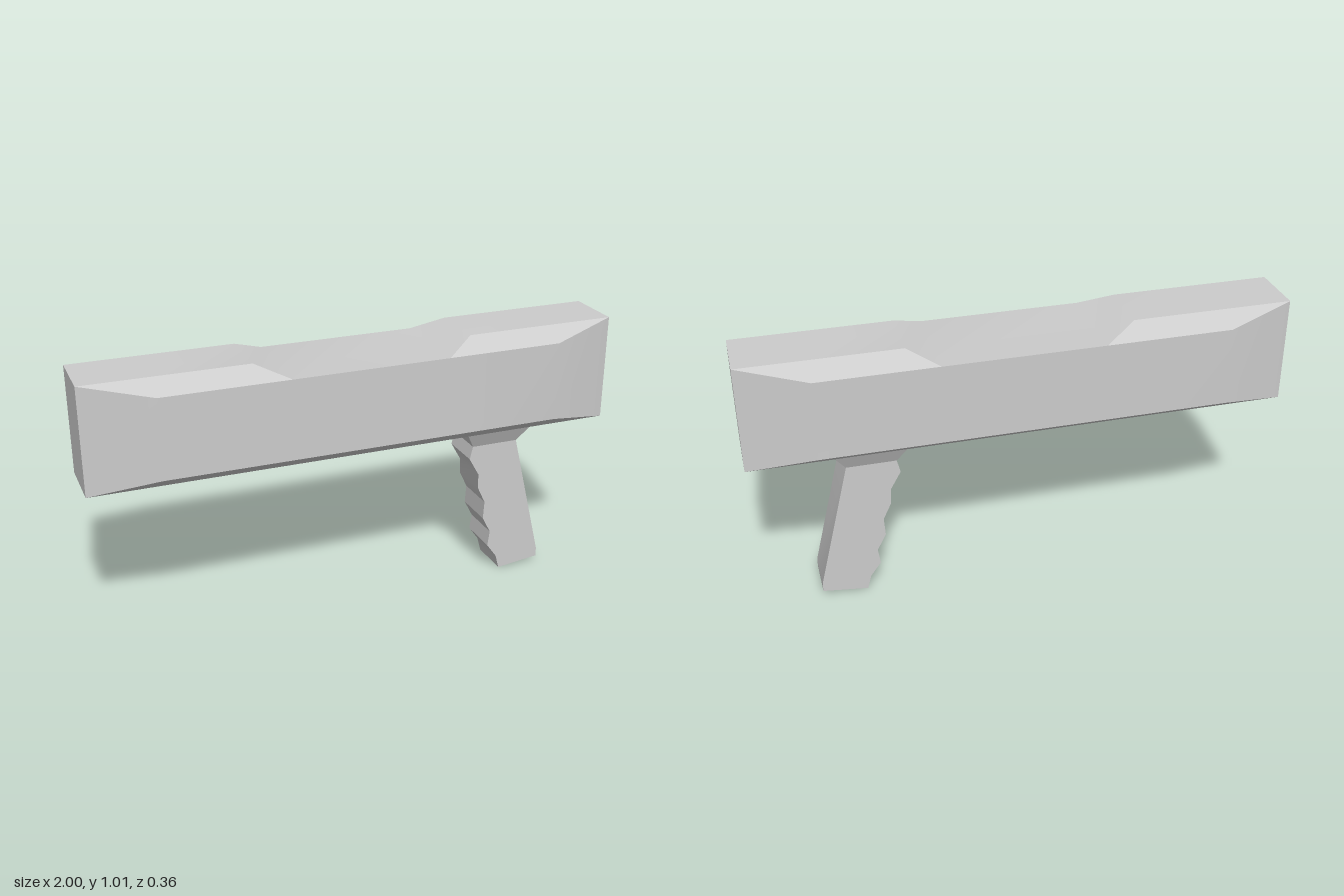
import * as THREE from 'three';
import { toCreasedNormals } from 'three/addons/utils/BufferGeometryUtils.js';

const material = new THREE.MeshStandardMaterial({ color: 0xcccccc });
const CREASE = 0.5;

// Eight-cornered section: [x, shoulder z, shoulder y, top z, top y, lower edge y]
function section([x, sz, sy, tz, ty, ly]) {
  const half = [[0.61, 0.11], [ly, sz], [sy, sz], [ty, tz]];
  const mirrored = half.map(([y, z]) => [y, -z]).reverse();
  return [...half, ...mirrored].map(([y, z]) => new THREE.Vector3(x, y, z));
}

// Skin the sections along x, skipping triangles that collapse to a line
function loft(rings) {
  const pos = [];
  const tri = (a, b, c) => {
    if (new THREE.Triangle(a, b, c).getArea() < 1e-7) return;
    for (const p of [a, b, c]) pos.push(p.x, p.y, p.z);
  };
  for (let i = 0; i < rings.length - 1; i++) {
    const a = rings[i], b = rings[i + 1], n = a.length;
    for (let j = 0; j < n; j++) {
      const k = (j + 1) % n;
      tri(a[j], b[j], b[k]);
      tri(a[j], b[k], a[k]);
    }
  }
  const first = rings[0], last = rings[rings.length - 1];
  for (let j = 1; j < first.length - 1; j++) {
    tri(first[0], first[j], first[j + 1]);
    tri(last[0], last[j + 1], last[j]);
  }
  const geo = new THREE.BufferGeometry();
  geo.setAttribute('position', new THREE.Float32BufferAttribute(pos, 3));
  return toCreasedNormals(geo, CREASE);
}

function add(group, name, geometry) {
  const mesh = new THREE.Mesh(geometry, material);
  mesh.name = name;
  group.add(mesh);
}

export function createModel() {
  const group = new THREE.Group();
  group.name = 'launcher';

  // Long body: chamfered, tapered at both ends, with a shallow dip in the top
  add(group, 'body', loft([
    [-1, 0.11, 1.01, 0.11, 1.01, 0.61],
    [-0.75, 0.18, 0.96, 0.11, 1.01, 0.66],
    [-0.4, 0.18, 0.96, 0.11, 1.01, 0.66],
    [-0.28, 0.18, 0.96, 0.18, 0.96, 0.66],
    [0.31, 0.18, 0.96, 0.18, 0.96, 0.66],
    [0.42, 0.18, 0.96, 0.11, 1.01, 0.66],
    [0.75, 0.18, 0.96, 0.11, 1.01, 0.66],
    [1, 0.11, 1.01, 0.11, 1.01, 0.61],
  ].map(section)));

  // Slanted grip with finger grooves
  const profile = [
    [0.65, 0.55], [0.467, 0.55], [0.455, 0.5], [0.495, 0.43], [0.497, 0.37],
    [0.528, 0.305], [0.524, 0.235], [0.558, 0.17], [0.55, 0.11],
    [0.59, 0.055], [0.605, 0], [0.773, 0.02], [0.773, 0.055],
  ].map(([x, y]) => new THREE.Vector2(x, y));
  const grip = new THREE.ExtrudeGeometry(new THREE.Shape(profile), { depth: 0.16, bevelEnabled: false });
  grip.translate(0, 0, -0.08);
  add(group, 'grip', toCreasedNormals(grip, CREASE));

  // Flared collar joining the grip to the body
  const collar = new THREE.BoxGeometry(1, 1, 1);
  const p = collar.attributes.position;
  for (let i = 0; i < p.count; i++) {
    const top = p.getY(i) > 0, right = p.getX(i) > 0, side = Math.sign(p.getZ(i));
    if (top) p.setXYZ(i, right ? 0.69 : 0.43, 0.611, side * 0.11);
    else p.setXYZ(i, right ? 0.65 : 0.467, 0.55, side * 0.08);
  }
  add(group, 'gripCollar', toCreasedNormals(collar, CREASE));

  return group;
}
